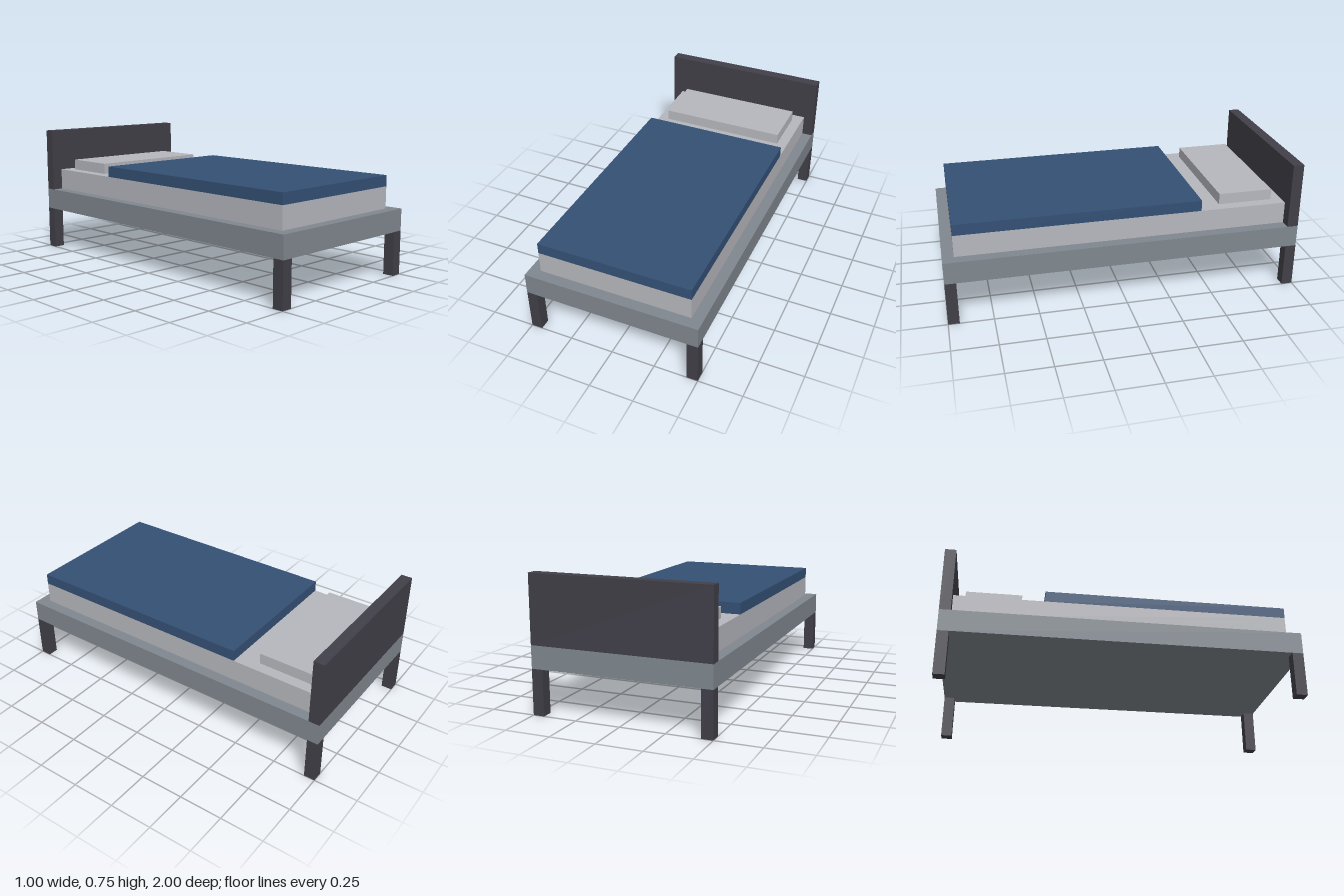
import * as THREE from 'three';

const U = 1 / 16; // module all parts are sized in

const material = (name, color) => {
  const m = new THREE.MeshStandardMaterial({ color });
  m.name = name;
  return m;
};

export function createModel() {
  const bed = new THREE.Group();
  bed.name = 'bed';

  const darkWood = material('dark wood', 0x413f48);
  const greyFrame = material('grey frame', 0x7f878e);
  const linen = material('pale linen', 0xb6b7bd);
  const blue = material('blue blanket', 0x345075);

  // Box between two corners given in modules
  const box = (name, mat, [x0, y0, z0], [x1, y1, z1]) => {
    const mesh = new THREE.Mesh(
      new THREE.BoxGeometry((x1 - x0) * U, (y1 - y0) * U, (z1 - z0) * U), mat);
    mesh.position.set((x0 + x1) * U / 2, (y0 + y1) * U / 2, (z0 + z1) * U / 2);
    mesh.name = name;
    bed.add(mesh);
  };

  // Four corner legs
  for (const [side, x] of [['Right', -8], ['Left', 7]]) {
    for (const [end, z] of [['front', 15], ['back', -16]]) {
      box(`${end}${side}Leg`, darkWood, [x, 0, z], [x + 1, 4, z + 1]);
    }
  }

  // Base and headboard
  box('frame', greyFrame, [-8, 4, -16], [8, 6, 16]);
  box('headboard', darkWood, [-8, 6, -16], [8, 12, -15]);

  // Bedding
  box('mattress', linen, [-7, 6, -15], [7, 8, 15]);
  box('blanket', blue, [-7, 8, -7], [7, 9, 15]);
  box('pillow', linen, [-6, 8, -14], [6, 9, -9]);

  return bed;
}
